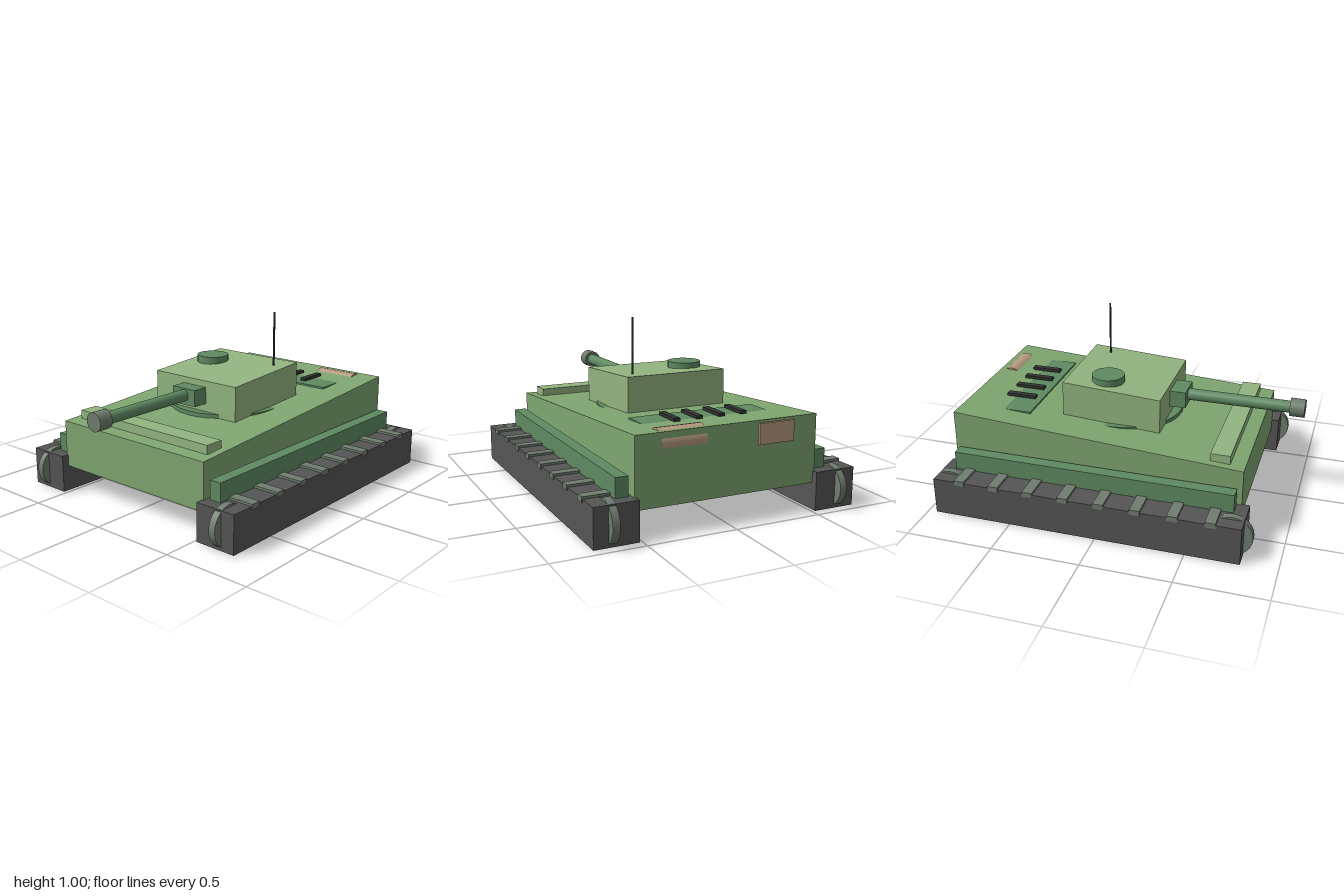
import * as THREE from 'three';

const mat = (color) => new THREE.MeshStandardMaterial({ color });
const paint = mat(0x7fa670), lightPaint = mat(0x93b580), darkPaint = mat(0x5f8a62);
const rubber = mat(0x555555), steel = mat(0x6f7d6f), black = mat(0x303430), tan = mat(0xb59a80);

export function createModel() {
  const model = new THREE.Group();

  const add = (name, geometry, material, parent = model) => {
    const mesh = new THREE.Mesh(geometry, material);
    mesh.name = name;
    parent.add(mesh);
    return mesh;
  };

  // Box given by its bounds; the top may slope from yFront to yBack
  const block = (name, material, [x0, x1], [y0, yFront, yBack = yFront], [z0, z1], parent) => {
    const g = new THREE.BoxGeometry(x1 - x0, 1, z1 - z0);
    const p = g.attributes.position;
    for (let i = 0; i < p.count; i++) {
      p.setY(i, p.getY(i) < 0 ? y0 : p.getZ(i) > 0 ? yFront : yBack);
    }
    g.translate((x0 + x1) / 2, 0, (z0 + z1) / 2);
    g.computeVertexNormals();
    return add(name, g, material, parent);
  };

  // Cylinder along a chosen axis, centred on a point
  const rod = (name, material, axis, radius, length, [x, y, z], sides = 24, parent) => {
    const g = new THREE.CylinderGeometry(radius, radius, length, sides);
    if (axis === 'x') g.rotateZ(Math.PI / 2);
    if (axis === 'z') g.rotateX(Math.PI / 2);
    g.translate(x, y, z);
    return add(name, g, material, parent);
  };

  // Wedge hull with a bar across the front deck
  block('hull', paint, [-0.527, 0.527], [0.15, 0.42, 0.53], [-0.913, 0.757]);
  block('frontBar', lightPaint, [-0.48, 0.48], [0.42, 0.475], [0.565, 0.675]);

  // Running gear, the same on both sides
  for (const side of [-1, 1]) {
    const gear = new THREE.Group();
    gear.name = side > 0 ? 'leftRunningGear' : 'rightRunningGear';
    model.add(gear);
    const span = (a, b) => (side > 0 ? [a, b] : [-b, -a]);
    block('track', rubber, span(0.517, 0.76), [0.002, 0.217], [-0.95, 0.8], gear);
    block('fender', darkPaint, span(0.545, 0.615), [0.2, 0.323], [-0.88, 0.73], gear);
    for (let i = 0; i < 8; i++) {
      const z = -0.79 + i * 0.2036;
      block('trackCleat', steel, span(0.52, 0.765), [0.2, 0.23], [z - 0.029, z + 0.029], gear);
    }
    for (const z of [0.735, -0.885]) {
      rod('endWheel', steel, 'x', 0.115, 0.04, [side * 0.66, 0.115, z], 24, gear);
    }
  }

  // Turret with its ring, hatch and aerial
  rod('turretRing', darkPaint, 'y', 0.34, 0.05, [0, 0.45, -0.05], 32);
  block('turret', lightPaint, [-0.3, 0.3], [0.45, 0.655, 0.692], [-0.335, 0.237]);
  rod('hatch', darkPaint, 'y', 0.094, 0.045, [-0.163, 0.692, -0.107]);
  rod('aerial', black, 'y', 0.006, 0.34, [0.217, 0.83, -0.217], 8);

  // Gun
  block('mantlet', darkPaint, [-0.083, 0.083], [0.522, 0.618], [0.2, 0.33]);
  rod('barrel', darkPaint, 'z', 0.034, 0.65, [0, 0.576, 0.605]);
  rod('muzzle', steel, 'z', 0.052, 0.083, [0, 0.576, 0.9585]);

  // Engine deck with vent slats
  block('engineDeck', darkPaint, [-0.375, 0.375], [0.495, 0.514], [-0.73, -0.51]);
  for (const x of [-0.198, -0.066, 0.066, 0.198]) {
    block('ventSlat', black, [x - 0.018, x + 0.018], [0.52, 0.537], [-0.72, -0.545]);
  }

  // Sunken exhaust drum and a stowage box at the back
  rod('exhaustDrum', tan, 'x', 0.068, 0.255, [0.257, 0.47, -0.85], 16);
  block('stowageBox', tan, [-0.38, -0.17], [0.402, 0.515], [-0.927, -0.9]);

  return model;
}
